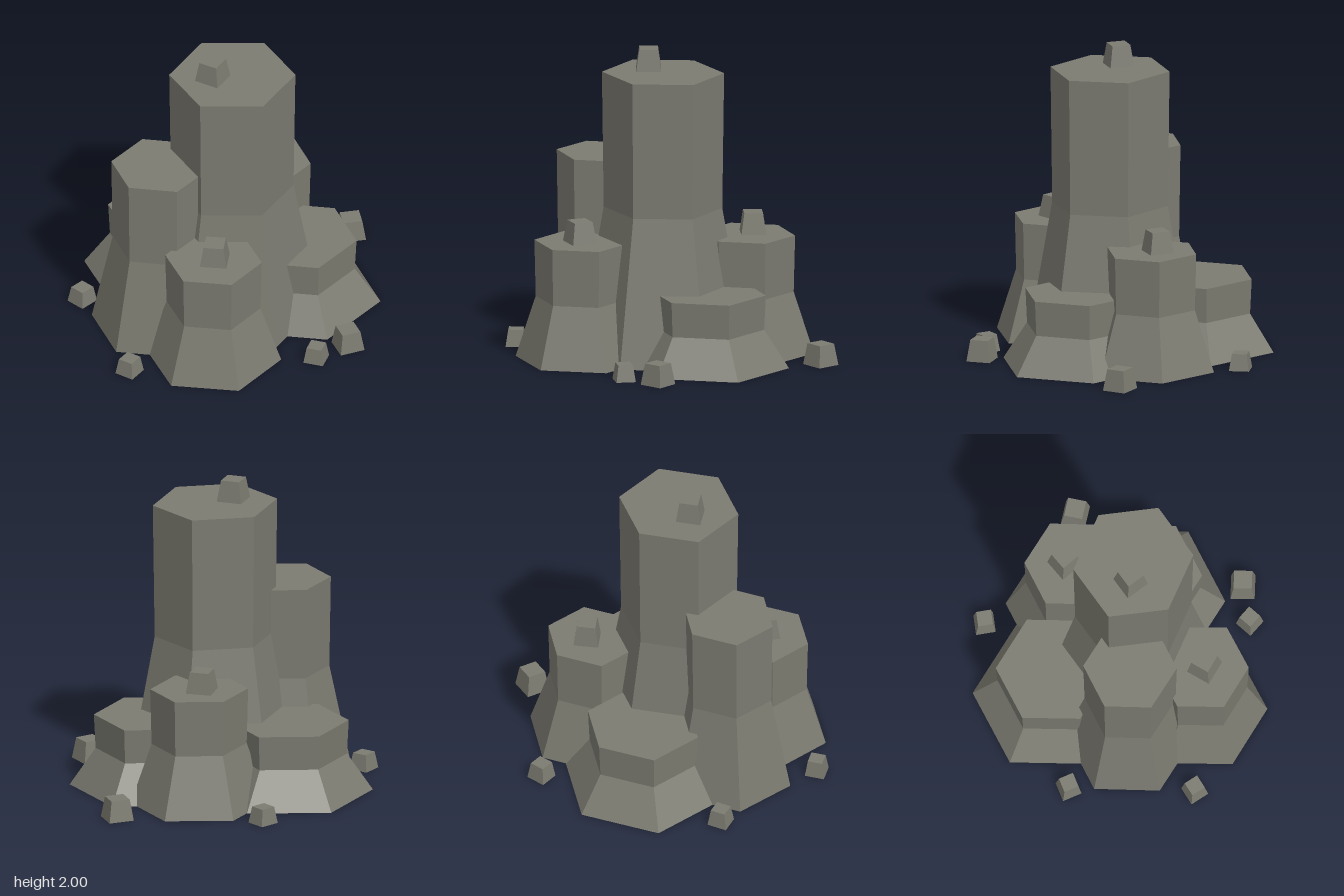
import * as THREE from 'three';

const DEPTH = 0.95; // columns are slightly narrower front to back

// Flat-faced solid with n sides from a profile of [radius, height] rings; deg places a corner from +x towards +z
function facetedSolid(n, rings, deg) {
  const points = rings.map(([r, y]) => new THREE.Vector2(r, y));
  const phi = Math.PI / 2 - THREE.MathUtils.degToRad(deg);
  const geometry = new THREE.LatheGeometry(points, n, phi).scale(1, 1, DEPTH).toNonIndexed();
  geometry.computeVertexNormals();
  return geometry;
}

// Hexagonal column: flared foot, slight waist, flat top
function columnGeometry(r, h, deg) {
  return facetedSolid(6, [[0, 0], [r * 1.4, 0], [r * 0.97, h * 0.52], [r, h], [0, h]], deg);
}

// Small four-sided block that tapers upwards
function pebbleGeometry(r, h, deg) {
  return facetedSolid(4, [[0, 0], [r, 0], [r * 0.75, h], [0, h]], deg);
}

export function createModel() {
  const group = new THREE.Group();
  const stone = new THREE.MeshStandardMaterial({ color: 0x7c7b71 });
  stone.name = 'grey stone';

  const add = (name, geometry, x, y, z) => {
    const mesh = new THREE.Mesh(geometry, stone);
    mesh.name = name;
    mesh.position.set(x, y, z);
    group.add(mesh);
  };

  // Columns: name, x, z, radius, height, turn
  const columns = [
    ['centralColumn', 0.05, 0.08, 0.407, 1.86, 7.4],
    ['rightColumn', -0.436, 0.2, 0.317, 1.26, 16],
    ['frontColumn', -0.136, 0.596, 0.315, 0.775, 15],
    ['backLeftColumn', 0.305, -0.412, 0.317, 0.775, 16],
    ['leftColumn', 0.475, 0.03, 0.39, 0.475, 15.7],
    ['backRightColumn', -0.315, -0.35, 0.39, 0.475, 15.5],
  ];
  for (const [name, x, z, r, h, deg] of columns) add(name, columnGeometry(r, h, deg), x, 0, z);

  // Pebbles resting on column tops and scattered on the ground: name, x, y, z, radius, height, turn
  const pebbles = [
    ['centralTopPebble', -0.08, 1.86, 0.1, 0.118, 0.14, -8],
    ['frontTopPebble', -0.13, 0.775, 0.61, 0.122, 0.14, -31],
    ['backTopPebble', 0.3, 0.775, -0.455, 0.118, 0.14, -12],
    ['backGroundPebble', 0.025, 0, -0.912, 0.095, 0.11, 20],
    ['backLeftGroundPebble', 0.9, 0, -0.56, 0.118, 0.14, 41],
    ['rightGroundPebble', -0.905, 0, -0.075, 0.095, 0.11, 6],
    ['frontRightGroundPebble', -0.695, 0, 0.71, 0.093, 0.11, -4],
    ['frontGroundPebble', 0.515, 0, 0.725, 0.093, 0.11, -20],
    ['frontLeftGroundPebble', 0.735, 0, 0.615, 0.116, 0.14, 30],
  ];
  for (const [name, x, y, z, r, h, deg] of pebbles) add(name, pebbleGeometry(r, h, deg), x, y, z);

  return group;
}
